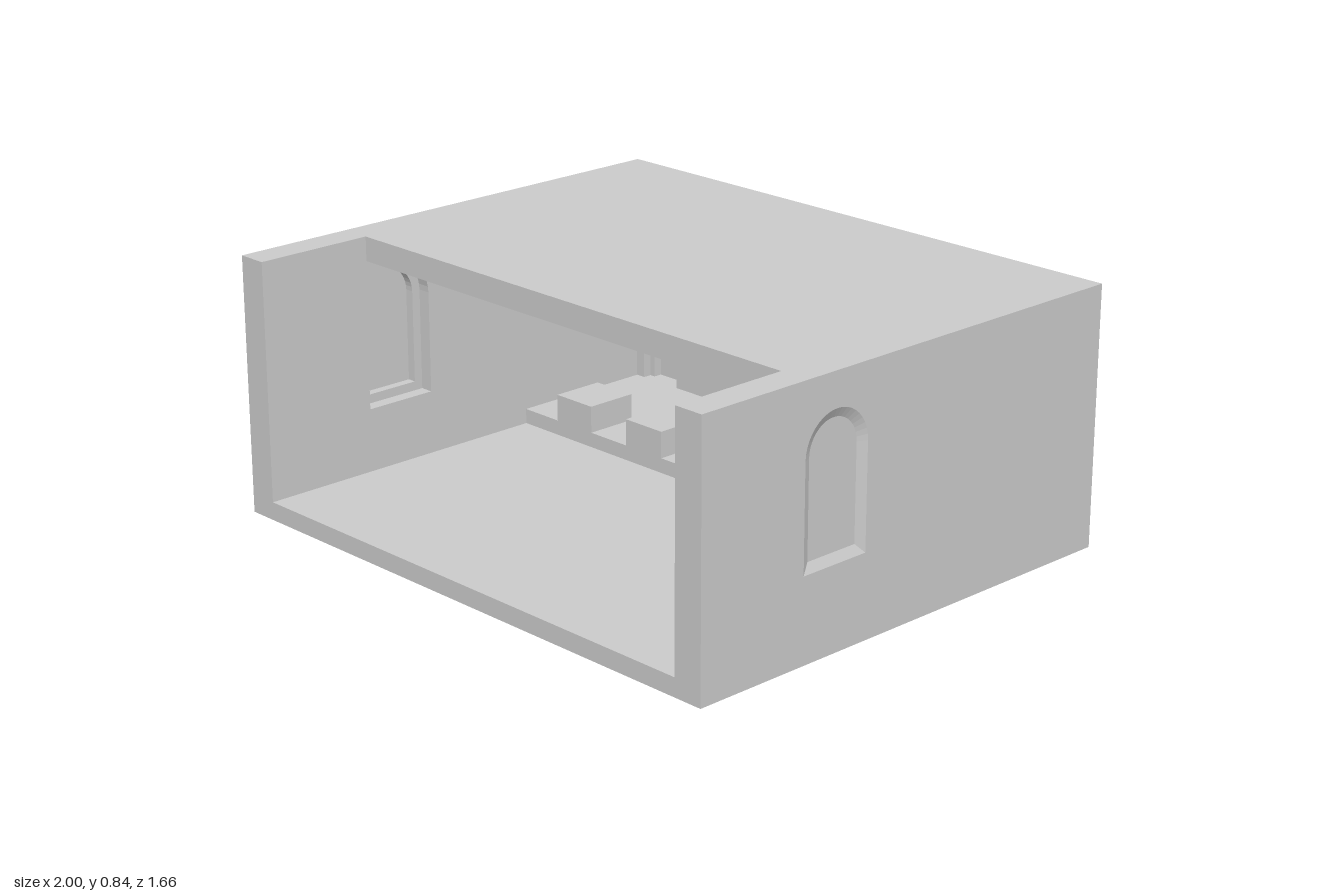
import * as THREE from 'three';

const grey = new THREE.MeshStandardMaterial({ color: 0xcccccc, flatShading: true, side: THREE.DoubleSide });

// Round-headed outline; "top" is the crown height
function archPoints(cx, bottom, top, half) {
  const pts = [new THREE.Vector2(cx - half, bottom), new THREE.Vector2(cx + half, bottom)];
  for (let i = 0; i <= 20; i++) {
    const a = (i / 20) * Math.PI;
    pts.push(new THREE.Vector2(cx + half * Math.cos(a), top - half + half * Math.sin(a)));
  }
  return pts;
}

// Flat wall layer, optionally pierced by an arch
function layer(halfWidth, height, z0, z1, hole) {
  const s = new THREE.Shape();
  s.moveTo(-halfWidth, 0).lineTo(halfWidth, 0).lineTo(halfWidth, height).lineTo(-halfWidth, height).closePath();
  if (hole) s.holes.push(new THREE.Path(hole));
  const g = new THREE.ExtrudeGeometry(s, { depth: z1 - z0, bevelEnabled: false });
  return g.translate(0, 0, z0);
}

// Sloping reveal joining two matching outlines
function reveal(a, zA, b, zB) {
  const pos = [], index = [], n = a.length;
  for (let i = 0; i < n; i++) {
    pos.push(a[i].x, a[i].y, zA, b[i].x, b[i].y, zB);
    const p = 2 * i, q = 2 * ((i + 1) % n);
    index.push(p, q, p + 1, q, q + 1, p + 1);
  }
  const g = new THREE.BufferGeometry();
  g.setAttribute('position', new THREE.Float32BufferAttribute(pos, 3));
  g.setIndex(index);
  g.computeVertexNormals();
  return g;
}

function add(parent, name, geometry) {
  const m = new THREE.Mesh(geometry, grey);
  m.name = name;
  parent.add(m);
  return m;
}

// Box given by its limits
function block(parent, name, x0, x1, y0, y1, z0, z1) {
  const m = add(parent, name, new THREE.BoxGeometry(x1 - x0, y1 - y0, z1 - z0));
  m.position.set((x0 + x1) / 2, (y0 + y1) / 2, (z0 + z1) / 2);
}

export function createModel() {
  const model = new THREE.Group();
  model.name = 'castleRoom';
  const W = 1, H = 0.84, D = 0.83, T = 0.1;
  const inX = W - T, inZ = -D + T;

  // Side walls: stepped window niche inside, shallow sloped niche outside
  for (const side of [-1, 1]) {
    const wall = new THREE.Group();
    wall.name = side < 0 ? 'rightWall' : 'leftWall';
    const c = side * 0.31;
    const wide = archPoints(c, 0.27, 0.73, 0.125);
    const narrow = archPoints(c, 0.30, 0.70, 0.095);
    add(wall, 'outerFace', layer(D, H, 0, 0.015, wide));
    add(wall, 'outerReveal', reveal(wide, 0, narrow, 0.015));
    add(wall, 'windowPanel', layer(D, H, 0.015, 0.025));
    add(wall, 'windowFrame', layer(D, H, 0.025, 0.055, narrow));
    add(wall, 'innerFace', layer(D, H, 0.055, T, wide));
    wall.rotation.y = -side * Math.PI / 2;
    wall.position.x = side * W;
    model.add(wall);
  }

  // Back wall with a stepped arched doorway
  const back = new THREE.Group();
  back.name = 'backWall';
  add(back, 'backPanel', layer(inX, H, 0, 0.04));
  add(back, 'doorFrame', layer(inX, H, 0.04, 0.07, archPoints(-0.785, 0.11, 0.305, 0.06)));
  add(back, 'innerFace', layer(inX, H, 0.07, T, archPoints(-0.785, 0.11, 0.32, 0.08)));
  back.position.z = -D;
  model.add(back);

  // Floor, raised rear platform and roof
  block(model, 'floor', -inX, inX, 0, 0.06, inZ, D);
  block(model, 'platform', -inX, inX, 0.06, 0.11, inZ, -0.22);
  block(model, 'roof', -inX, inX, 0.76, H, inZ, 0.43);

  // Row of battlement blocks along the platform edge
  for (let i = -2; i <= 2; i++) {
    const x = i * 0.33;
    block(model, 'merlon', x - 0.082, x + 0.082, 0.11, 0.2, -0.4, -0.22);
  }
  return model;
}
